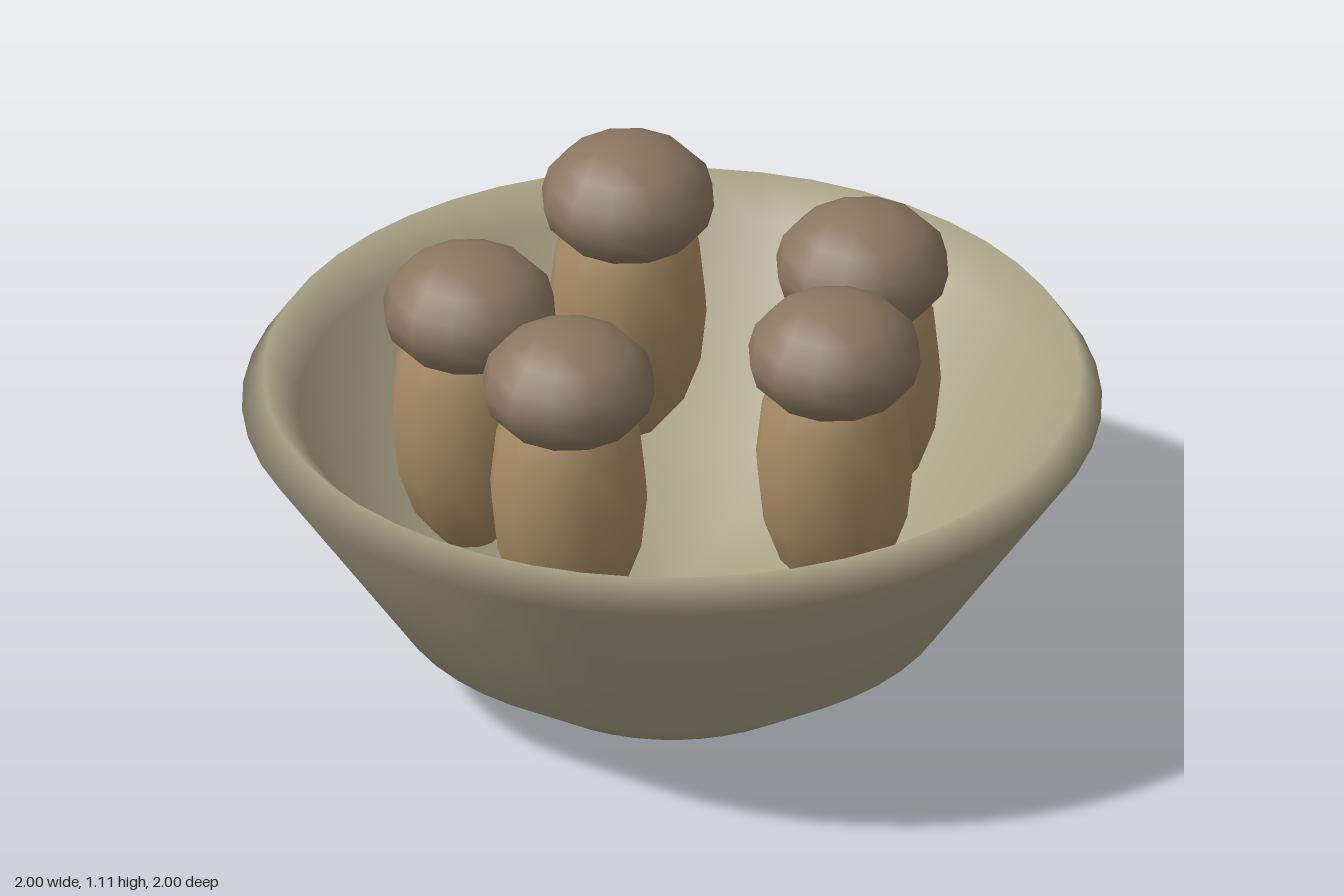
import * as THREE from 'three';

export function createModel() {
  const model = new THREE.Group();
  const bowlMat = new THREE.MeshStandardMaterial({ name: 'stoneware', color: 0xa8a185 });
  const stemMat = new THREE.MeshStandardMaterial({ name: 'tan', color: 0xa68b63 });
  const capMat = new THREE.MeshStandardMaterial({ name: 'brown', color: 0x897660 });

  // Thick bowl: outside from the foot up to the rim, then down the inside
  const profile = [
    [0, 0], [0.4, 0], [0.65, 0.17], [1, 0.68], [0.95, 0.755],
    [0.87, 0.67], [0.56, 0.25], [0, 0.17],
  ].map(([r, y]) => new THREE.Vector2(r, y));
  const bowl = new THREE.Mesh(new THREE.LatheGeometry(profile, 48), bowlMat);
  bowl.name = 'bowl';
  model.add(bowl);

  // Acorns: a long body under a squashed, wider cap
  const ellipsoid = (r, h) => new THREE.SphereGeometry(1, 12, 8).scale(r, h, r);
  const bodyGeo = ellipsoid(0.187, 0.35);
  const capGeo = ellipsoid(0.205, 0.145);
  const spots = [[-0.465, -0.09], [0.04, -0.47], [0.465, -0.005], [-0.35, 0.315], [0.28, 0.37]];
  for (const [x, z] of spots) {
    const acorn = new THREE.Group();
    acorn.name = 'acorn';
    const body = new THREE.Mesh(bodyGeo, stemMat);
    body.name = 'acornBody';
    body.position.y = 0.68;
    const cap = new THREE.Mesh(capGeo, capMat);
    cap.name = 'acornCap';
    cap.position.y = 0.96;
    acorn.add(body, cap);
    acorn.position.set(x, 0, z);
    model.add(acorn);
  }
  return model;
}
